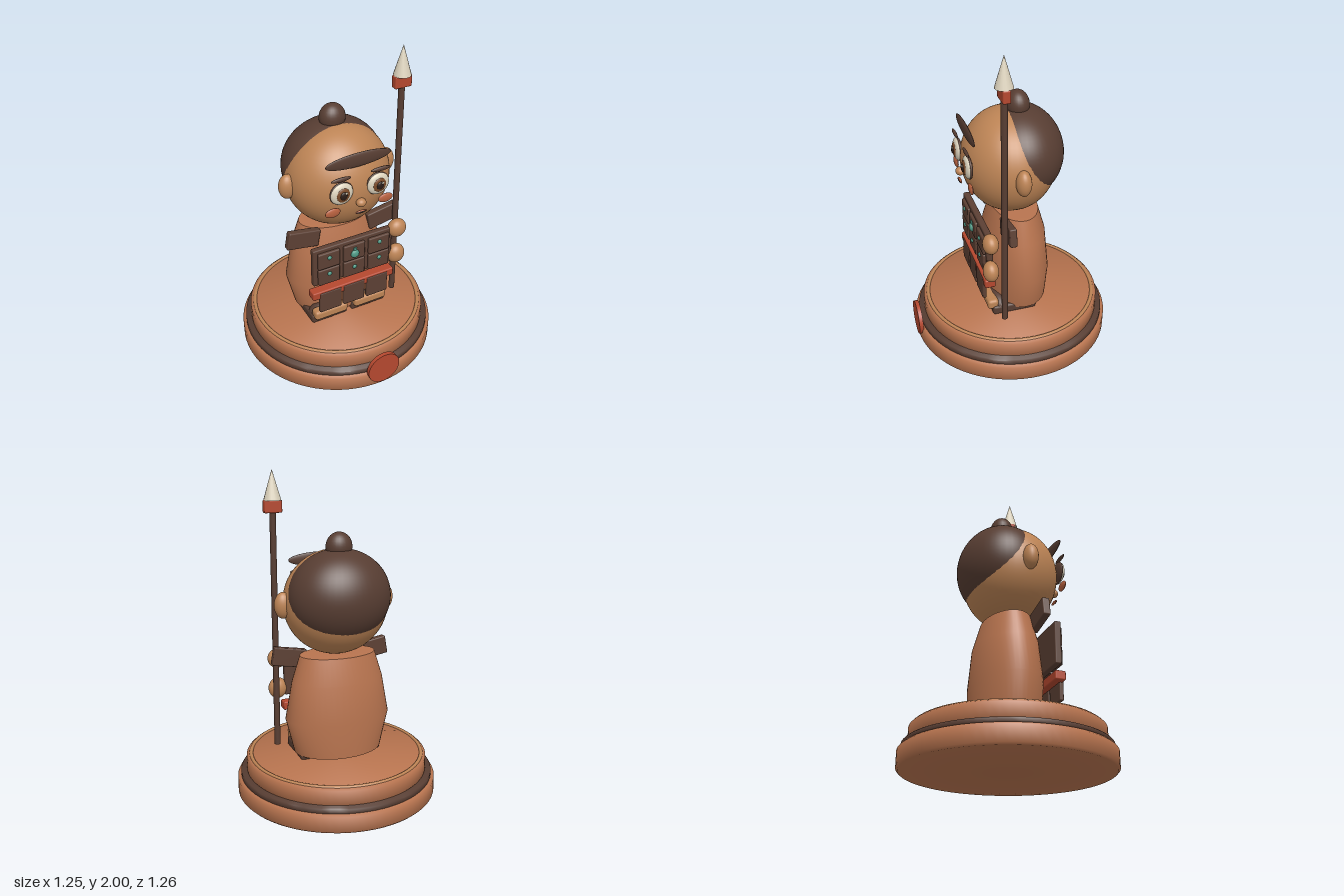
import * as THREE from 'three';
import { RoundedBoxGeometry } from 'three/addons/geometries/RoundedBoxGeometry.js';
import { toCreasedNormals } from 'three/addons/utils/BufferGeometryUtils.js';

const mat = (color) => new THREE.MeshStandardMaterial({ color });
const M = {
  clay: mat(0xb8744f), skin: mat(0xbd8455), dark: mat(0x573d32), plate: mat(0x5c4034), red: mat(0xb5482f),
  cream: mat(0xddd3bd), teal: mat(0x4f9a86), iris: mat(0x7a4a28), pupil: mat(0x2a1c17), blush: mat(0xb8613f),
};

export function createModel() {
  const root = new THREE.Group();

  const add = (name, geo, material, x, y, z, parent = root) => {
    const m = new THREE.Mesh(geo, material);
    m.name = name;
    m.position.set(x, y, z);
    parent.add(m);
    return m;
  };
  const ball = (name, material, x, y, z, rx, ry, rz, parent, seg = 24) => {
    const m = add(name, new THREE.SphereGeometry(1, seg, Math.ceil(seg * 0.7)), material, x, y, z, parent);
    m.scale.set(rx, ry, rz);
    return m;
  };
  const box = (name, material, x, y, z, w, h, d, parent, r = 0.008) =>
    add(name, new RoundedBoxGeometry(w, h, d, 2, r), material, x, y, z, parent);
  const group = (name) => {
    const g = new THREE.Group();
    g.name = name;
    root.add(g);
    return g;
  };

  // Round stepped base: bevelled discs, dark band, raised rim and front badge
  const base = group('base');
  base.position.z = -0.008;
  const disc = (name, material, r, y0, y1, b) => {
    const p = [[0, y0], [r - b, y0], [r, y0 + b], [r, y1 - b], [r - b, y1], [0, y1]];
    const geo = new THREE.LatheGeometry(p.map(([x, y]) => new THREE.Vector2(x, y)), 72);
    return add(name, toCreasedNormals(geo, 0.9), material, 0, 0, 0, base);
  };
  disc('lowerDisc', M.clay, 0.625, 0, 0.116, 0.012);
  disc('darkBand', M.dark, 0.604, 0.11, 0.147, 0.006);
  disc('upperDisc', M.clay, 0.567, 0.14, 0.25, 0.012);
  add('rim', new THREE.TorusGeometry(0.538, 0.012, 10, 72), M.skin, 0, 0.248, 0, base).rotation.x = Math.PI / 2;
  const badge = new THREE.CylinderGeometry(0.108, 0.108, 0.025, 40);
  add('badge', badge, M.red, 0, 0.135, 0.622, base).rotation.x = Math.PI / 2;

  // Robe: oval sections [half width, half depth, height]
  const rows = [[0, 0, 0.28], [0.28, 0.198, 0.28], [0.335, 0.205, 0.5], [0.29, 0.185, 0.74], [0.24, 0.14, 0.9], [0, 0, 0.905]];
  const robe = new THREE.LatheGeometry(rows.map(([x, , y]) => new THREE.Vector2(x, y)), 48);
  const pos = robe.attributes.position;
  for (let i = 0; i < pos.count; i++) {
    const [w, d] = rows[i % rows.length];
    if (w) pos.setZ(i, pos.getZ(i) * d / w);
  }
  robe.computeVertexNormals();
  add('robe', toCreasedNormals(robe, 0.9), M.clay, 0, 0, -0.03);

  // Head with back hair, topknot and forelock
  const head = group('head');
  ball('skull', M.skin, 0, 1.215, 0, 0.325, 0.32, 0.29, head, 48);
  ball('hair', M.dark, 0, 1.26, -0.06, 0.316, 0.285, 0.267, head, 48);
  ball('topknot', M.dark, 0, 1.555, -0.055, 0.081, 0.088, 0.07, head);
  ball('forelock', M.dark, 0, 1.435, 0.262, 0.21, 0.045, 0.013, head, 32);
  ball('nose', M.skin, 0, 1.17, 0.3, 0.031, 0.026, 0.028, head);
  ball('mouth', M.blush, 0, 1.108, 0.302, 0.038, 0.01, 0.008, head);
  ball('mouthLine', M.pupil, 0, 1.108, 0.307, 0.034, 0.005, 0.006, head);
  for (const s of [-1, 1]) {
    ball('ear', M.skin, s * 0.33, 1.215, 0.012, 0.055, 0.08, 0.046, head);
    ball('eyebrow', M.dark, s * 0.127, 1.355, 0.293, 0.064, 0.014, 0.01, head);
    ball('eyeSocket', M.dark, s * 0.118, 1.255, 0.278, 0.075, 0.073, 0.02, head);
    ball('eyeWhite', M.cream, s * 0.118, 1.255, 0.285, 0.071, 0.069, 0.025, head);
    ball('iris', M.iris, s * 0.118, 1.255, 0.303, 0.042, 0.045, 0.012, head);
    ball('pupil', M.pupil, s * 0.118, 1.255, 0.312, 0.023, 0.026, 0.01, head);
    ball('eyeGlint', M.cream, s * 0.118 + 0.012, 1.274, 0.32, 0.008, 0.008, 0.004, head, 12);
    ball('cheek', M.blush, s * 0.174, 1.14, 0.282, 0.049, 0.03, 0.012, head);
  }

  // Chest armour: backing, two rows of plates, studs and pendant
  const armour = group('armour');
  box('backing', M.plate, 0, 0.72, 0.2, 0.545, 0.265, 0.04, armour);
  for (const x of [-0.173, 0, 0.173]) {
    for (const y of [0.77, 0.65]) {
      box('chestPlate', M.plate, x, y, 0.222, 0.145, 0.115, 0.032, armour);
      if (x) ball('stud', M.teal, x, y + 0.02, 0.238, 0.014, 0.014, 0.01, armour, 12);
    }
  }
  ball('pendant', M.teal, 0, 0.76, 0.24, 0.028, 0.028, 0.016, armour);
  box('pendantCap', M.teal, 0, 0.796, 0.238, 0.024, 0.02, 0.016, armour, 0.004);
  ball('lowerStud', M.teal, 0, 0.66, 0.238, 0.014, 0.014, 0.01, armour, 12);

  // Belt and hanging skirt plates
  box('belt', M.red, 0, 0.515, 0.204, 0.57, 0.055, 0.066, armour);
  for (const x of [-0.165, 0, 0.165]) {
    box('skirtPlate', M.plate, x, 0.455, 0.228, 0.15, 0.15, 0.026, armour);
  }

  // Shoulder guards and boots, mirrored
  for (const s of [-1, 1]) {
    const guard = box('shoulderGuard', M.plate, s * 0.275, 0.868, 0.086, 0.21, 0.115, 0.045);
    guard.rotation.z = s * 0.17;
    box('sole', M.dark, s * 0.14, 0.28, 0.04, 0.25, 0.06, 0.28, root, 0.015);
    ball('bootTop', M.dark, s * 0.14, 0.295, 0.125, 0.125, 0.068, 0.065);
    box('toeCap', M.skin, s * 0.14, 0.32, 0.175, 0.23, 0.066, 0.07, root, 0.02);
  }

  // Spear and the two hands gripping it
  const spear = group('spear');
  spear.position.set(0.345, 0, 0.132);
  add('shaft', new THREE.CylinderGeometry(0.019, 0.019, 1.49, 16), M.dark, 0, 1.03, 0, spear);
  box('collar', M.red, 0, 1.785, 0, 0.11, 0.075, 0.046, spear);
  add('spearhead', new THREE.ConeGeometry(0.053, 0.18, 16), M.cream, 0, 1.91, 0, spear);
  ball('upperHand', M.skin, 0.312, 0.83, 0.208, 0.062, 0.062, 0.048);
  ball('lowerHand', M.skin, 0.312, 0.633, 0.208, 0.06, 0.067, 0.048);

  return root;
}
